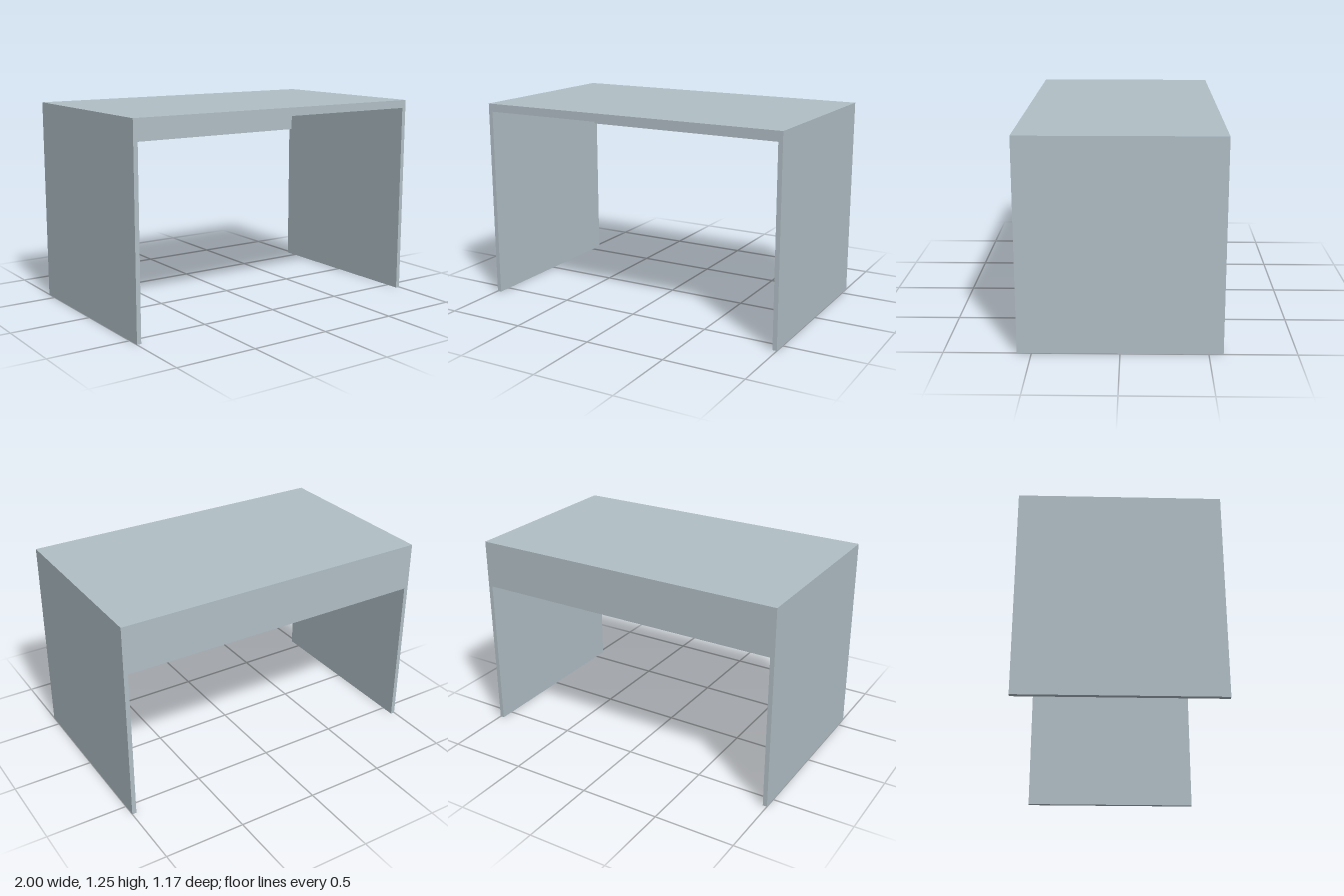
import * as THREE from 'three';

const WIDTH = 2, HEIGHT = 1.25, DEPTH = 1.166;
const SIDE = 0.027, TOP = 0.05; // board thicknesses
const PANEL_BOTTOM = 0.955;

export function createModel() {
  const desk = new THREE.Group();
  desk.name = 'desk';
  const paint = new THREE.MeshStandardMaterial({ color: 0xb0bec5 });
  paint.name = 'blue grey';

  // top and two side walls as one upside-down U, extruded front to back
  const w = WIDTH / 2, inner = w - SIDE, under = HEIGHT - TOP;
  const profile = new THREE.Shape([
    [-w, 0], [-inner, 0], [-inner, under], [inner, under],
    [inner, 0], [w, 0], [w, HEIGHT], [-w, HEIGHT],
  ].map(([x, y]) => new THREE.Vector2(x, y)));
  const frameGeometry = new THREE.ExtrudeGeometry(profile, { depth: DEPTH, bevelEnabled: false });
  frameGeometry.translate(0, 0, -DEPTH / 2);
  const frame = new THREE.Mesh(frameGeometry, paint);
  frame.name = 'topAndSides';
  desk.add(frame);

  // modesty panel, flush with the back edge
  const panelHeight = under - PANEL_BOTTOM;
  const panel = new THREE.Mesh(new THREE.BoxGeometry(inner * 2, panelHeight, SIDE), paint);
  panel.name = 'backPanel';
  panel.position.set(0, PANEL_BOTTOM + panelHeight / 2, -DEPTH / 2 + SIDE / 2);
  desk.add(panel);

  return desk;
}
